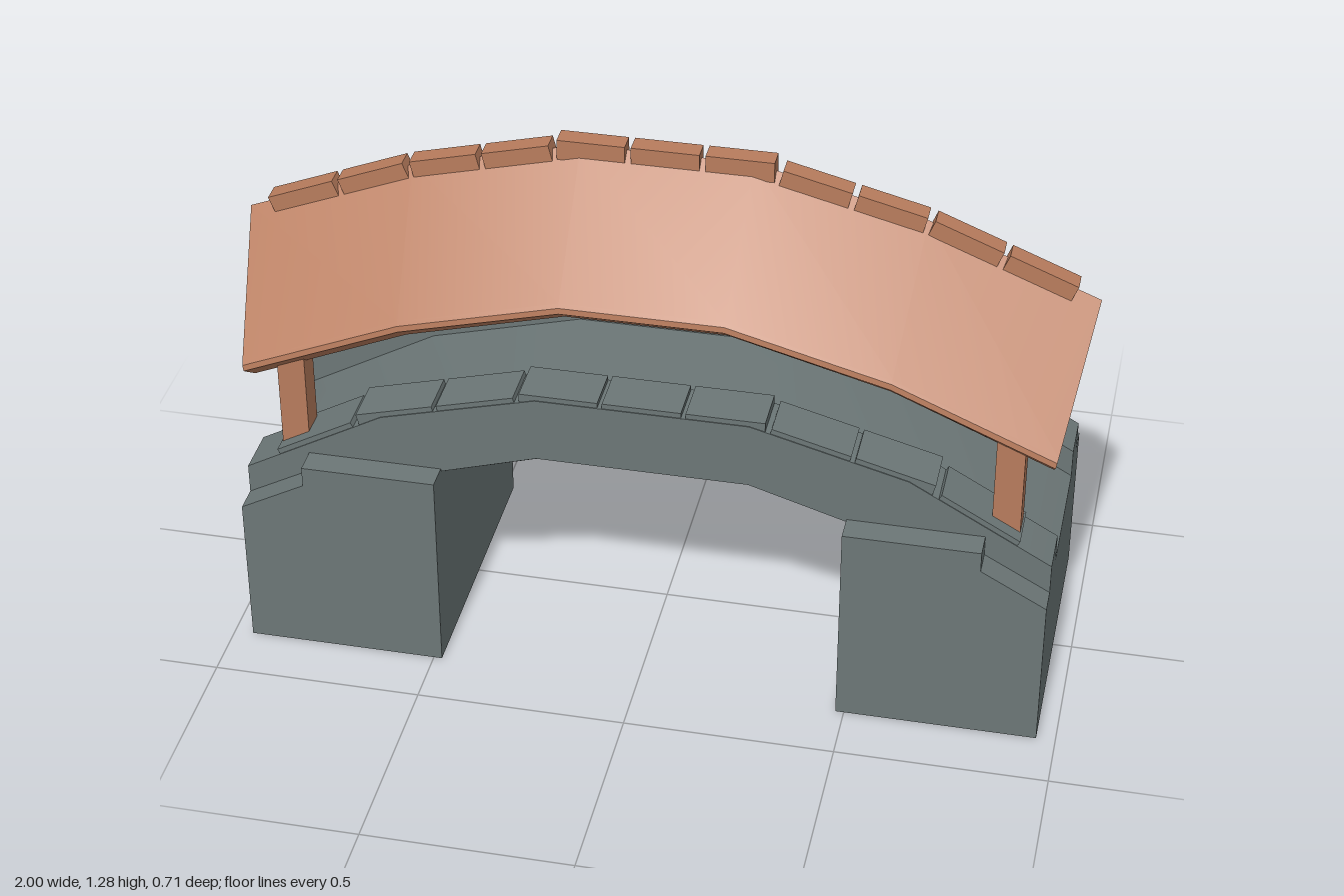
import * as THREE from 'three';
import { toCreasedNormals } from 'three/addons/utils/BufferGeometryUtils.js';

const mat = (name, color) => {
  const m = new THREE.MeshStandardMaterial({ color });
  m.name = name;
  return m;
};

// Skin closed rings of [x, y, z] points running along +x, with flat end caps
function loft(rings, crease) {
  const n = rings[0].length, last = (rings.length - 1) * n, index = [];
  for (let i = 0; i < rings.length - 1; i++) {
    for (let j = 0; j < n; j++) {
      const k = (j + 1) % n;
      const a = i * n + j, b = i * n + k, c = b + n, d = a + n;
      index.push(a, b, c, a, c, d);
    }
  }
  const outline = rings[0].map(([, y, z]) => new THREE.Vector2(-z, y));
  for (const [a, b, c] of THREE.ShapeUtils.triangulateShape(outline, [])) {
    index.push(a, c, b, last + a, last + b, last + c);
  }
  const g = new THREE.BufferGeometry();
  g.setAttribute('position', new THREE.Float32BufferAttribute(rings.flat(2), 3));
  g.setIndex(index);
  return toCreasedNormals(g, crease);
}

// Height of a symmetric polyline of [x, y] points, x rising from the middle
function heightAt(line, x) {
  const ax = Math.abs(x);
  if (ax <= line[0][0]) return line[0][1];
  const i = Math.max(1, line.findIndex(p => p[0] >= ax));
  const [x0, y0] = line[i - 1], [x1, y1] = line[i];
  return y0 + (y1 - y0) * (ax - x0) / (x1 - x0);
}

export function createModel() {
  const model = new THREE.Group();
  const stone = mat('stone', 0x6c7777);
  const wood = mat('wood', 0xb87c5d);
  const add = (name, geometry, material, x = 0, y = 0, z = 0, parent = model) => {
    const mesh = new THREE.Mesh(geometry, material);
    mesh.name = name;
    mesh.position.set(x, y, z);
    parent.add(mesh);
    return mesh;
  };

  // Arched deck with side walls and a rounded keel underneath
  const wallTop = [[0.25, 0.742], [0.62, 0.643], [0.955, 0.455]];
  const under = [[0.25, 0.58], [0.62, 0.467], [0.955, 0.3]];
  const xs = [-0.955, -0.62, -0.25, 0.25, 0.62, 0.955];
  const deckRings = xs.map(x => {
    const h = heightAt(wallTop, x), f = h - 0.071, u = heightAt(under, x);
    const half = [[0.17, f], [0.17, h], [0.29, h], [0.29, u], [0.2, u - 0.06], [0.1, u - 0.09]];
    const mirror = half.map(([z, y]) => [-z, y]).reverse();
    return [...half, [0, u - 0.095], ...mirror].map(([z, y]) => [x, y, z]);
  });
  add('archedDeck', loft(deckRings, 0.5), stone);

  // Piers at both ends, with raised curbs beside the walls
  const pierShape = new THREE.Shape([
    [-0.955, 0], [-0.48, 0], [-0.48, 0.505], [-0.7, 0.505], [-0.8, 0.466], [-0.955, 0.381],
  ].map(p => new THREE.Vector2(...p)));
  const pierGeo = new THREE.ExtrudeGeometry(pierShape, { depth: 0.71, bevelEnabled: false });
  pierGeo.translate(0, 0, -0.355);
  const curbGeo = new THREE.BoxGeometry(0.32, 0.075, 0.07);
  const postGeo = new THREE.BoxGeometry(0.066, 0.28, 0.066);
  for (const sx of [-1, 1]) {
    const pier = add(sx < 0 ? 'rightPier' : 'leftPier', pierGeo, stone);
    if (sx > 0) pier.rotation.y = Math.PI;
    for (const sz of [-1, 1]) {
      add('pierCurb', curbGeo, stone, sx * 0.64, 0.479, sz * 0.32);
      add('roofPost', postGeo, wood, sx * 0.842, 0.64, sz * 0.222);
    }
  }

  // Row of thin pieces laid along a symmetric polyline
  function row(name, line, count, pitch, size, lift, z, material) {
    const group = new THREE.Group();
    group.name = name + 's';
    model.add(group);
    const geo = new THREE.BoxGeometry(...size);
    for (let i = 0; i < count; i++) {
      const x = (i - (count - 1) / 2) * pitch;
      const slope = (heightAt(line, x + 0.01) - heightAt(line, x - 0.01)) / 0.02;
      const angle = Math.atan(slope), len = 1 / Math.cos(angle);
      const piece = add(name, geo, material, x, heightAt(line, x) + lift, z, group);
      piece.rotation.z = angle;
      piece.scale.x = len;
    }
  }

  // Coping stones on both walls
  for (const sz of [-1, 1]) {
    row('copingStone', wallTop, 9, 0.195, [0.184, 0.03, 0.116], -0.002, sz * 0.23, stone);
  }

  // Gabled roof bent along the bridge, its ends leaning inward
  const ridge = [[0.2, 1.26], [0.6, 1.16], [1, 1]];
  const roofHalf = [[0.28, 0.25], [0.288, 0.258], [0.29, 0.272], [0.237, 0.312]];
  const roofRing = [[0, 0], ...roofHalf, [0, 0.12],
    ...roofHalf.map(([z, d]) => [-z, d]).reverse()];
  const roofRings = [-1, -0.6, -0.2, 0.2, 0.6, 1].map(x =>
    roofRing.map(([z, drop]) => [x * (1 - 0.2 * drop), heightAt(ridge, x) - drop, z]));
  add('roof', loft(roofRings, 0.6), wood);

  // Ridge caps
  row('ridgeCap', ridge, 11, 0.172, [0.158, 0.05, 0.048], -0.006, 0, wood);
  return model;
}
